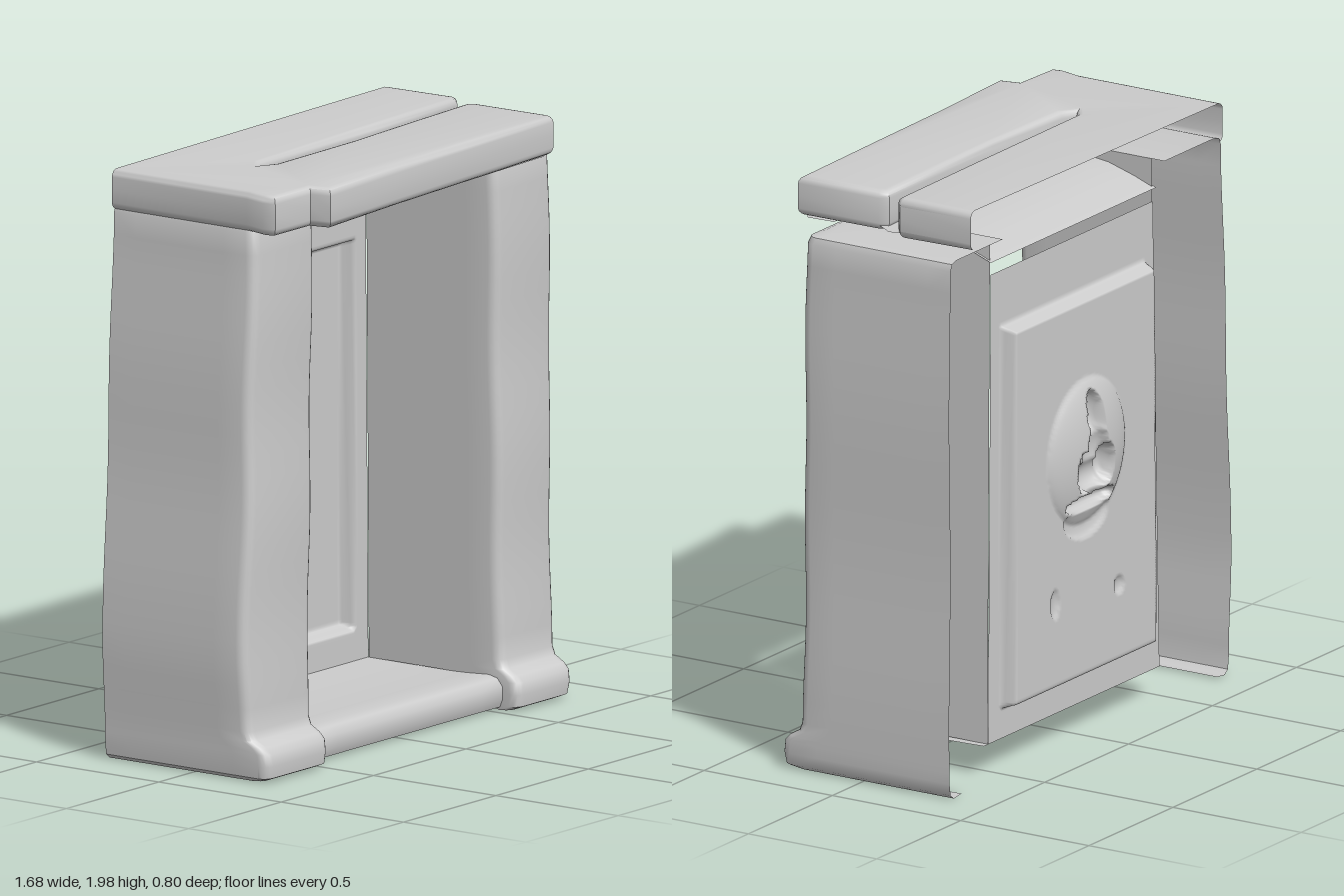
import * as THREE from 'three';
import { toCreasedNormals } from 'three/addons/utils/BufferGeometryUtils.js';

const material = new THREE.MeshStandardMaterial({ color: 0xcccccc, side: THREE.DoubleSide });
const { lerp, smoothstep, clamp } = THREE.MathUtils;

function part(name, geometry) {
  const mesh = new THREE.Mesh(geometry, material);
  mesh.name = name;
  return mesh;
}

// Skin a list of rows, each a list of [x, y, z] points of equal length
function loft(rows, crease = 0.8) {
  const n = rows[0].length, index = [];
  for (let i = 0; i < rows.length - 1; i++) {
    for (let j = 0; j < n - 1; j++) {
      const a = i * n + j, b = a + n;
      index.push(a, a + 1, b, b, a + 1, b + 1);
    }
  }
  const geo = new THREE.BufferGeometry();
  geo.setAttribute('position', new THREE.Float32BufferAttribute(rows.flat(2), 3));
  geo.setIndex(index);
  return toCreasedNormals(geo, crease);
}

// Hollow pillar, open at the back: outer wall, rounded front, inner wall, with a projecting foot
function pillar(outerAt, innerAt, topY) {
  const levels = [[0.02, 0.28, 0.07], [0.015, 0.28, 0.025], [0.03, 0.305, 0.005], [0.07, 0.31, 0],
    [0.11, 0.305, 0], [0.13, 0.285, 0], [0.15, 0.25, 0], [0.18, 0.238, 0]];
  for (let k = 1; k <= 22; k++) {
    const y = lerp(0.18, topY - 0.03, k / 22);
    levels.push([y, 0.235 - 0.006 * y + 0.004 * Math.sin(y * 9), 0]);
  }
  levels.push([topY - 0.008, 0.215, 0.01], [topY, 0.19, 0.035]);

  const section = ([y, zf, inset]) => {
    const xi = innerAt(y), s = Math.sign(xi), xo = outerAt(y) - s * inset, r = 0.035, row = [];
    const front = zf - (y < 0.025 ? inset * 0.5 : 0);
    for (let k = 0; k < 6; k++) row.push([xo, y, lerp(-0.35, front - r, k / 6)]);
    for (let k = 0; k <= 4; k++) {
      const a = k / 4 * Math.PI / 2;
      row.push([xo - s * r * (1 - Math.cos(a)), y, front - r + r * Math.sin(a)]);
    }
    for (let k = 0; k <= 4; k++) {
      const a = k / 4 * Math.PI / 2;
      row.push([xi + s * r * (1 - Math.sin(a)), y, front - r + r * Math.cos(a)]);
    }
    // the inner wall stops at the niche floor
    for (let k = 1; k <= 6; k++) row.push([xi, Math.max(y, 0.12), lerp(front - r, -0.3, k / 6)]);
    return row;
  };
  const rows = levels.map(section);
  // top cap: pull the last section across to the inner wall
  const xi = innerAt(topY);
  rows.push(rows[rows.length - 1].map(([, , z]) => [xi, topY, z]));
  return loft(rows);
}

// Niche back: raised frame, sunken panel, oval hollow and a seated relief figure
function panel() {
  const geo = new THREE.PlaneGeometry(1, 1, 120, 190);
  const p = geo.attributes.position;
  // relief lumps: x, y, half width, half height, projection
  const lumps = [[0.03, 1.12, 0.045, 0.09, 0.07], [0.03, 1.0, 0.06, 0.1, 0.055], [0.03, 0.93, 0.1, 0.06, 0.065],
    [-0.035, 0.95, 0.035, 0.07, 0.065], [0.1, 0.95, 0.035, 0.07, 0.065], [0.03, 0.835, 0.14, 0.035, 0.06],
    [0.03, 0.78, 0.13, 0.075, 0.02], [-0.17, 0.49, 0.03, 0.03, 0.012], [0.21, 0.52, 0.025, 0.05, 0.012]];
  for (let i = 0; i < p.count; i++) {
    const v = p.getY(i) + 0.5, y = lerp(0.12, 1.72, v);
    const x = lerp(lerp(-0.485, -0.445, v), lerp(0.535, 0.52, v), p.getX(i) + 0.5);
    const edge = Math.min(x - lerp(-0.41, -0.395, v), 0.46 - x, y - 0.225, 1.525 - y);
    let z = -0.303 - 0.05 * smoothstep(edge, -0.005, 0.016);
    const d = ((x - 0.03) / 0.23) ** 2 + ((y - 1.0) / 0.25) ** 2;
    if (d < 1) z -= 0.055 * (1 - d) ** 0.75;
    let h = 0;
    for (const [cx, cy, rx, ry, hz] of lumps) {
      const q = ((x - cx) / rx) ** 2 + ((y - cy) / ry) ** 2;
      if (q < 1) h = Math.max(h, hz * Math.sqrt(1 - q));
    }
    p.setXYZ(i, x, y, z + h);
  }
  geo.computeVertexNormals();
  return geo;
}

// Roof slab of two beams joined at one end, hollow and open behind
function lintel() {
  const outline = [[-0.79, -0.42], [0.71, -0.42], [0.72, -0.08], [0.69, -0.055], [0.2, -0.04], [-0.41, -0.025],
    [-0.45, -0.003], [-0.4, 0.02], [0, 0.024], [0.35, 0.01], [0.66, 0], [0.68, 0.03], [0.685, 0.34],
    [0.2, 0.36], [-0.2, 0.375], [-0.6, 0.4], [-0.615, 0.33], [-0.8, 0.325], [-0.81, 0.28], [-0.79, 0.2]];
  const shape = new THREE.Shape(outline.map(([x, z]) => new THREE.Vector2(x, -z)));
  const b = 0.025;
  const geo = new THREE.ExtrudeGeometry(shape, {
    depth: 0.085, steps: 2, bevelEnabled: true, bevelThickness: b, bevelSize: b, bevelOffset: -b, bevelSegments: 4,
  });
  geo.rotateX(-Math.PI / 2).translate(0, 1.875, 0);
  const src = geo.attributes.position, kept = [];
  for (let i = 0; i < src.count; i += 3) {
    const tri = [0, 1, 2].map(k => [src.getX(i + k), src.getY(i + k), Math.max(src.getZ(i + k), -0.35)]);
    // leave the back and the underside open
    if (tri.every(t => t[2] < -0.349) || tri.every(t => t[1] < 1.852)) continue;
    for (const [x, y, z] of tri) kept.push(x, y + 0.01 * x, z);
  }
  const out = new THREE.BufferGeometry();
  out.setAttribute('position', new THREE.Float32BufferAttribute(kept, 3));
  return toCreasedNormals(out, 0.9);
}

// Strip across the model; each row is [y, x0, z0, x1, z1]
function strip(rows) {
  return loft(rows.map(([y, x0, z0, x1, z1]) =>
    Array.from({ length: 9 }, (_, k) => [lerp(x0, x1, k / 8), y, lerp(z0, z1, k / 8)])));
}

export function createModel() {
  const group = new THREE.Group();
  group.name = 'shrine';

  const rightOuter = y => lerp(-0.842, -0.782, clamp((y - 0.4) / 1.4, 0, 1)) + 0.015 * (1 - smoothstep(y, 0, 0.4)) + 0.004 * Math.sin(y * 8);
  const rightInner = y => lerp(-0.485, -0.445, y / 1.8);
  const leftOuter = y => 0.835 + 0.004 * Math.sin(y * 6);
  const leftInner = y => lerp(0.535, 0.52, y / 1.8);
  group.add(part('rightPillar', pillar(rightOuter, rightInner, 1.865)));
  group.add(part('leftPillar', pillar(leftOuter, leftInner, 1.85)));
  group.add(part('reliefPanel', panel()));
  group.add(part('lintel', lintel()));

  // Niche floor running out to a rounded sill
  const sill = [[0.12, -0.303], [0.115, -0.1], [0.122, 0.1], [0.128, 0.19], [0.12, 0.225], [0.095, 0.245],
    [0.05, 0.245], [0.025, 0.235], [0.018, 0.2]];
  group.add(part('floorAndSill', strip(sill.map(([y, z]) => [y, -0.487, z, 0.56, z]))));

  // Overhang underside and sloping niche ceiling
  group.add(part('ceiling', strip([
    [1.853, -0.59, 0.38, 0.665, 0.32], [1.851, -0.6, 0.31, 0.67, 0.31], [1.851, -0.785, 0.305, 0.67, 0.305],
    [1.853, -0.785, 0.21, 0.67, 0.21], [1.85, -0.455, 0.2, 0.53, 0.2], [1.84, -0.455, 0, 0.53, 0],
    [1.825, -0.455, -0.13, 0.53, -0.13], [1.795, -0.455, -0.23, 0.53, -0.23], [1.765, -0.455, -0.31, 0.53, -0.31],
  ])));

  // Bottom of the groove between the two beams
  group.add(part('grooveFloor', strip([
    [1.875, -0.5, -0.07, 0.71, -0.09], [1.87, -0.5, 0, 0.71, -0.03], [1.875, -0.5, 0.05, 0.67, 0.04],
  ])));
  return group;
}
